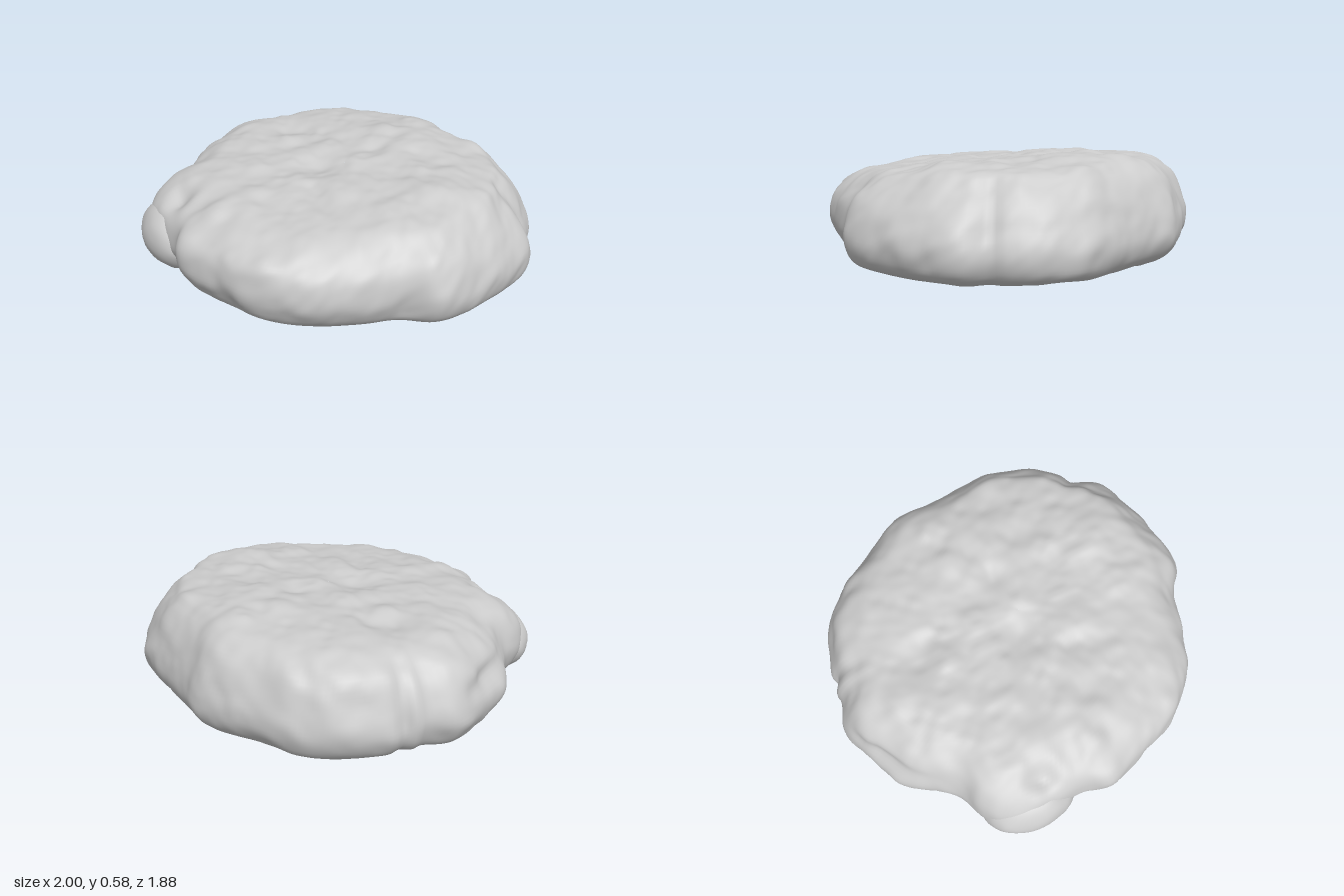
import * as THREE from 'three';

const SEG = 260, RINGS = 110;

// seeded smooth 3D value noise in -1..1
function hash(x, y, z) {
  const s = Math.sin(x * 127.1 + y * 311.7 + z * 74.7) * 43758.5453;
  return (s - Math.floor(s)) * 2 - 1;
}
function noise(x, y, z) {
  const X = Math.floor(x), Y = Math.floor(y), Z = Math.floor(z);
  const ease = t => t * t * t * (t * (6 * t - 15) + 10), mix = THREE.MathUtils.lerp;
  const u = ease(x - X), v = ease(y - Y), w = ease(z - Z);
  const row = (j, k) => mix(hash(X, Y + j, Z + k), hash(X + 1, Y + j, Z + k), u);
  return mix(mix(row(0, 0), row(1, 0), v), mix(row(0, 1), row(1, 1), v), w);
}
// broad, medium and fine lumps, sampled on tilted axes so they do not line up
function crust(x, y, z) {
  const a = 0.8 * x + 0.6 * z + 0.2 * y, b = 0.8 * z - 0.6 * x + 0.3 * y, c = y - 0.3 * x;
  return noise(a * 3.2 + 7, c * 4, b * 3.6) * 0.01
    + noise(a * 8, c * 8 + 3, b * 9) * 0.012
    + noise(a * 17 + 5, c * 15, b * 19) * 0.004;
}
const bump = (x, z, cx, cz, r) => Math.exp(-((x - cx) ** 2 + (z - cz) ** 2) / (r * r));

// plan outline (x, z), clockwise from the left side seen from above
const OUTLINE = [
  [0.99, -0.01], [0.95, 0.19], [0.85, 0.43], [0.73, 0.6], [0.55, 0.66], [0.4, 0.77], [0.18, 0.89],
  [-0.05, 0.925], [-0.3, 0.87], [-0.52, 0.79], [-0.6, 0.68], [-0.75, 0.58], [-0.88, 0.47],
  [-0.955, 0.32], [-0.92, 0.14], [-0.99, -0.1], [-0.97, -0.35], [-0.91, -0.53], [-0.78, -0.62],
  [-0.76, -0.67], [-0.63, -0.8], [-0.45, -0.91], [-0.3, -0.945], [-0.05, -0.925], [0.2, -0.915],
  [0.4, -0.8], [0.6, -0.68], [0.75, -0.59], [0.84, -0.48], [0.93, -0.3], [0.95, -0.12],
];
// cross-section (fraction of the outline, height) from bottom centre to top centre
const PROFILE = [
  [0.002, 0.045], [0.45, 0.045], [0.8, 0.042], [0.9, 0.06], [0.965, 0.11], [1, 0.2], [0.985, 0.3],
  [0.93, 0.4], [0.85, 0.465], [0.74, 0.505], [0.5, 0.52], [0.25, 0.52], [0.002, 0.52],
];

function bodyGeometry() {
  const plan = new THREE.CatmullRomCurve3(
    OUTLINE.map(([x, z]) => new THREE.Vector3(x, 0, z)), true).getSpacedPoints(SEG);
  const section = new THREE.SplineCurve(PROFILE.map(p => new THREE.Vector2(...p))).getSpacedPoints(RINGS);
  const pos = [], index = [];
  section.forEach(({ x: f, y: h }, j) => {
    const top = THREE.MathUtils.smoothstep(h, 0.3, 0.5);
    const side = THREE.MathUtils.smoothstep(f, 0.75, 0.95);
    for (let i = 0; i < SEG; i++) {
      const p = plan[i];
      // the front wall leans out over its foot, the left wall slopes back
      const lean = 0.2 * Math.max(0, p.z) - 0.25 * Math.max(0, p.x);
      const belly = f + side * lean * (h - 0.2);
      const x = p.x * belly, z = p.z * belly;
      const n = crust(x, h, z);
      let y = h;
      // top falls towards the front and has a few hollows and swellings
      y += top * (n * 1.1 - 0.05 * z + 0.01 * x);
      y -= top * (0.03 * bump(x, z, -0.46, -0.32, 0.1) + 0.025 * bump(x, z, 0.1, -0.2, 0.07)
        + 0.025 * bump(x, z, -0.12, 0.08, 0.08) + 0.05 * bump(x, z, -0.7, 0.5, 0.07));
      y += top * (0.035 * bump(x, z, -0.6, -0.74, 0.1) + 0.025 * bump(x, z, 0.2, -0.4, 0.3)
        + 0.02 * bump(x, z, -0.4, -0.2, 0.08) + 0.025 * bump(x, z, 0.6, 0.1, 0.25));
      // nearly flat underside with one shallow foot and two dents
      const under = 1 - THREE.MathUtils.smoothstep(h, 0.05, 0.12);
      y += under * (n * 0.4 - 0.046 * bump(x, z, 0.09, -0.68, 0.1)
        + 0.03 * bump(x, z, -0.23, -0.1, 0.07) + 0.03 * bump(x, z, -0.02, 0.01, 0.06));
      // rumpled wall with upright clefts, a fold on the right and a tuck above the knob
      const swell = 1 + side * (n * 0.9
        - 0.015 * bump(p.x, p.z, 0.95, -0.14, 0.04)
        - 0.03 * bump(p.x, p.z, -0.72, -0.71, 0.04)
        - 0.04 * bump(p.x, p.z, -0.97, -0.25, 0.2) * bump(h, 0, 0.33, 0, 0.05)
        - 0.05 * top * bump(p.x, p.z, -0.84, 0.5, 0.15));
      pos.push(x * swell, Math.max(0, y), z * swell);
      if (j < RINGS) {
        const a = j * SEG + i, b = j * SEG + (i + 1) % SEG;
        index.push(a, a + SEG, b, b, a + SEG, b + SEG);
      }
    }
  });
  const geo = new THREE.BufferGeometry();
  geo.setAttribute('position', new THREE.Float32BufferAttribute(pos, 3));
  geo.setIndex(index);
  geo.computeVertexNormals();
  return geo;
}

// rounded knob squeezed out of the front corner
function knobGeometry() {
  const geo = new THREE.SphereGeometry(1, 48, 32);
  const p = geo.attributes.position, v = new THREE.Vector3();
  for (let i = 0; i < p.count; i++) {
    v.fromBufferAttribute(p, i);
    const k = 1 + 2 * crust(v.x * 0.25, v.y * 0.25, v.z * 0.25);
    p.setXYZ(i, v.x * k * 0.24, v.y * k * 0.165, v.z * k * 0.15);
  }
  geo.rotateY(-0.75);
  geo.computeVertexNormals();
  return geo;
}

export function createModel() {
  const group = new THREE.Group();
  group.name = 'lumpyDisc';
  const material = new THREE.MeshStandardMaterial({ color: 0xcccccc });
  const add = (name, geo) => {
    const mesh = new THREE.Mesh(geo, material);
    mesh.name = name;
    group.add(mesh);
    return mesh;
  };
  add('discBody', bodyGeometry());
  add('sideKnob', knobGeometry()).position.set(-0.775, 0.195, 0.46);
  return group;
}
